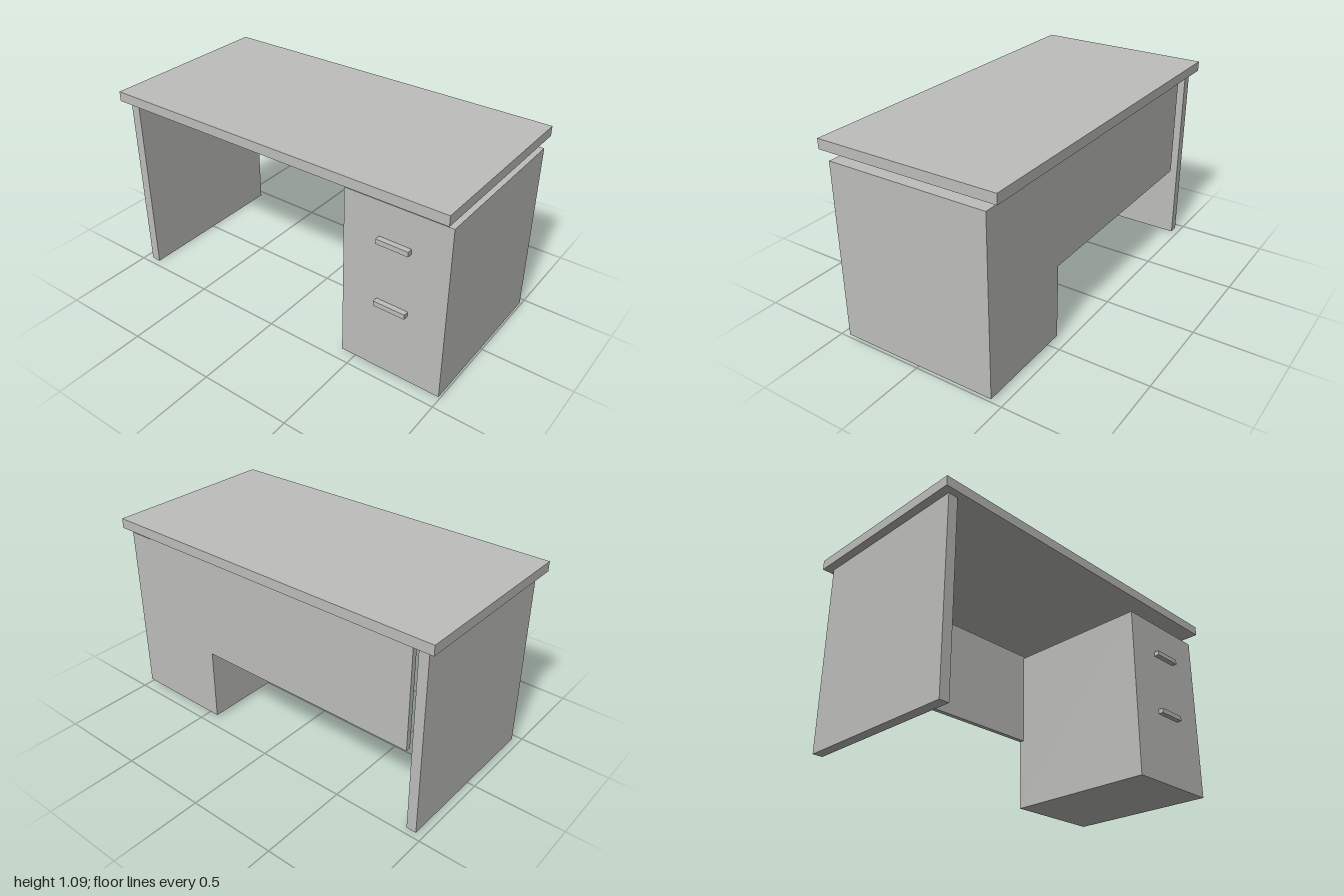
import * as THREE from 'three';

export function createModel() {
  const desk = new THREE.Group();
  desk.name = 'desk';

  const grey = new THREE.MeshStandardMaterial({ color: 0xbdbdbb });
  grey.name = 'light grey';

  // Adds a box given its extents along each axis
  function addBox(name, [x0, x1], [y0, y1], [z0, z1]) {
    const mesh = new THREE.Mesh(new THREE.BoxGeometry(x1 - x0, y1 - y0, z1 - z0), grey);
    mesh.position.set((x0 + x1) / 2, (y0 + y1) / 2, (z0 + z1) / 2);
    mesh.name = name;
    desk.add(mesh);
  }

  addBox('desktop', [-1, 1], [1.033, 1.087], [-0.5, 0.5]);
  addBox('sideLeg', [-0.957, -0.903], [0, 1.033], [-0.464, 0.464]);
  addBox('modestyPanel', [-0.86, 0.856], [0.432, 1.002], [-0.442, -0.414]);
  addBox('drawerCabinet', [0.428, 0.998], [0.017, 0.988], [-0.442, 0.442]);

  // One handle per drawer
  for (const [name, y] of [['lowerHandle', 0.43], ['upperHandle', 0.787]]) {
    addBox(name, [0.624, 0.798], [y - 0.0135, y + 0.0135], [0.442, 0.471]);
  }

  return desk;
}
